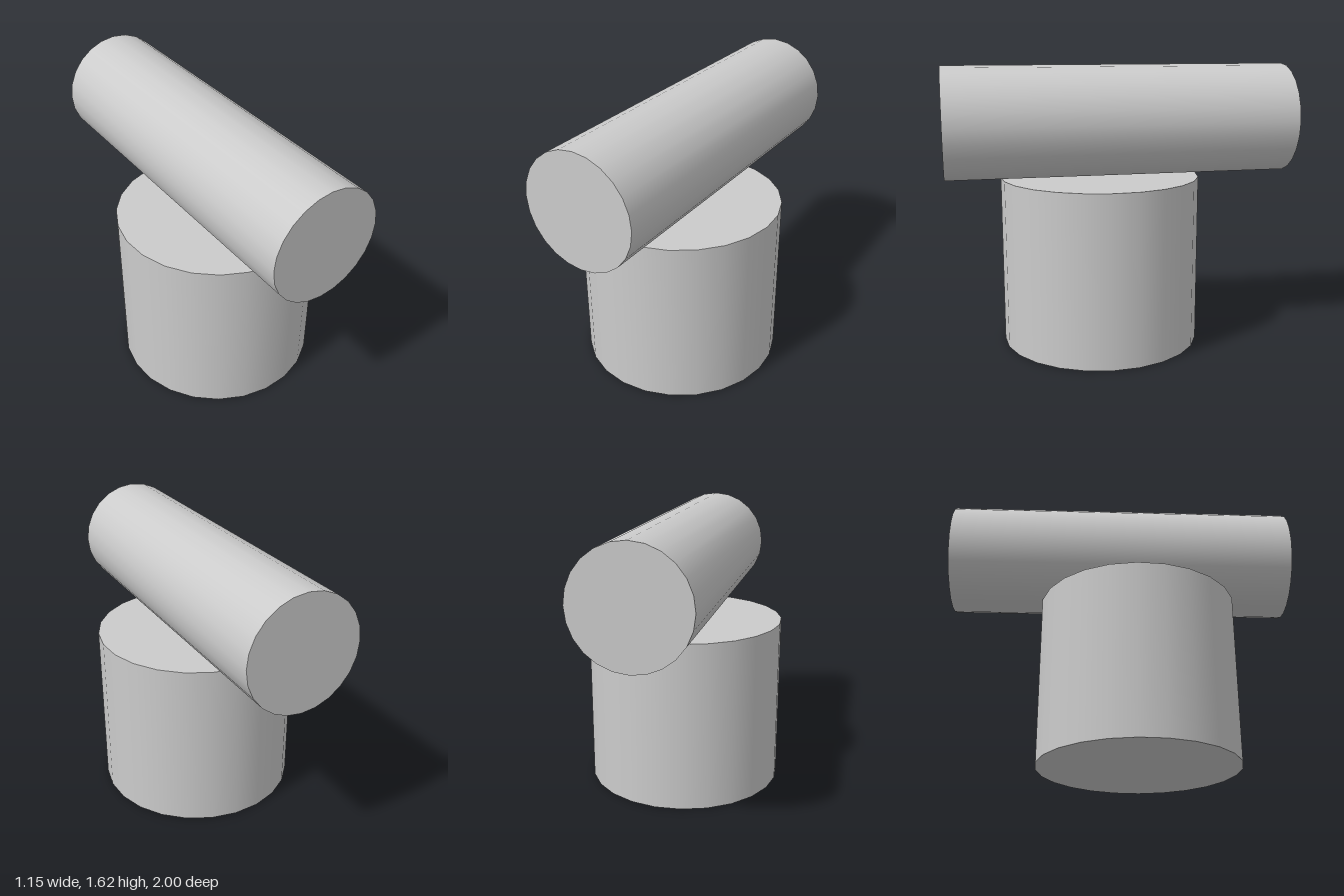
import * as THREE from 'three';

export function createModel() {
  const group = new THREE.Group();
  const material = new THREE.MeshStandardMaterial({ color: 0xcccccc });

  const addCylinder = (name, radius, length, turn = 0) => {
    const geometry = new THREE.CylinderGeometry(radius, radius, length, 24, 1, false, turn);
    const mesh = new THREE.Mesh(geometry, material);
    mesh.name = name;
    group.add(mesh);
    return mesh;
  };

  // Upright drum, set slightly forward and turned a few degrees
  const base = addCylinder('base', 0.575, 0.98, THREE.MathUtils.degToRad(-3.5));
  base.position.set(0, 0.49, 0.107);

  // Long horizontal cylinder resting on the drum, running front to back
  const barrel = addCylinder('barrel', 0.32, 2);
  barrel.rotation.x = Math.PI / 2;
  barrel.position.set(0, 1.3, 0);

  return group;
}
